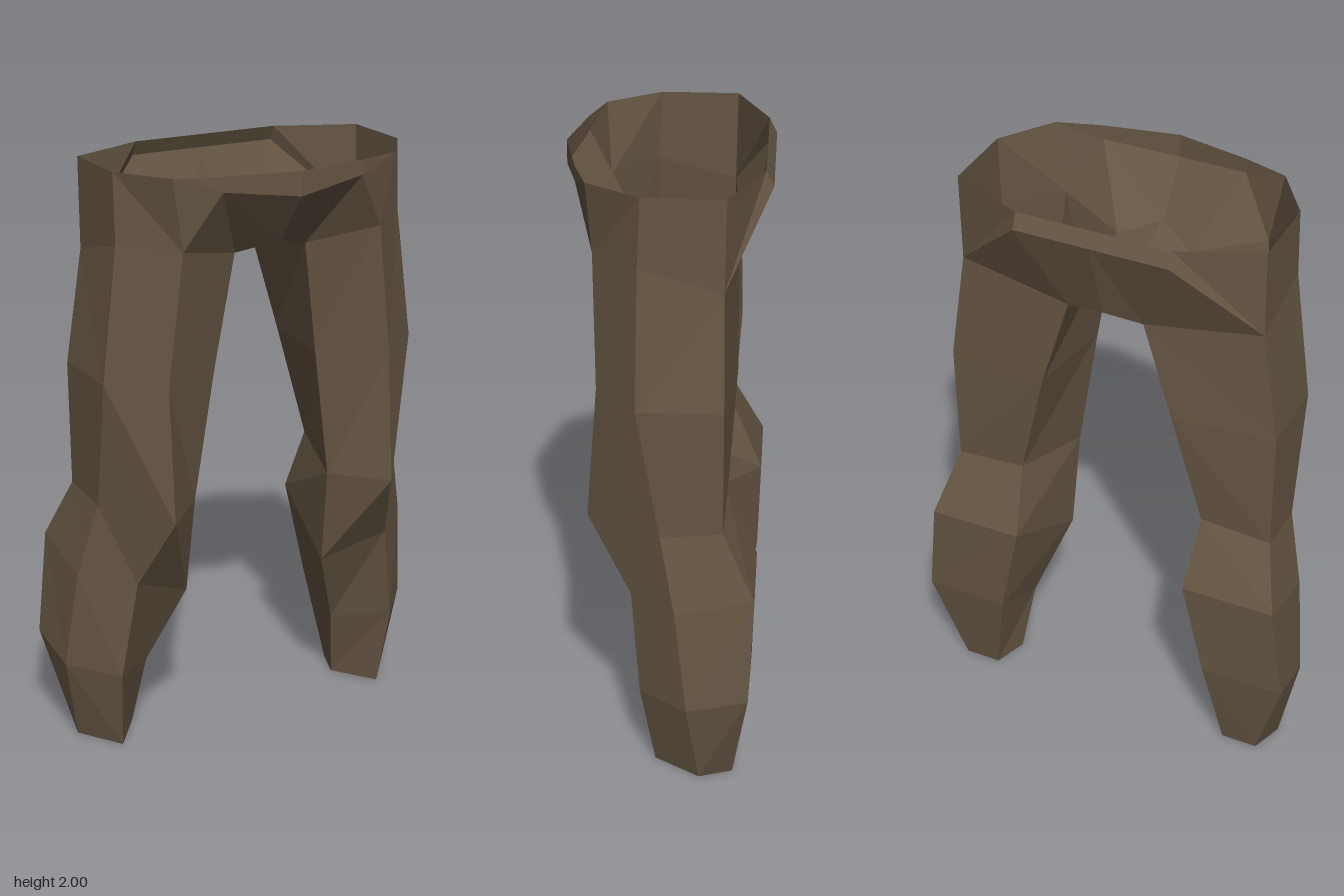
import * as THREE from 'three';

const cloth = new THREE.MeshStandardMaterial({ color: 0x665643, side: THREE.DoubleSide, flatShading: true });
cloth.name = 'brown cloth';

// Leg corners from hip to ankle, left side
const front = [[.36, 1.76, .22], [.41, 1.32, .21], [.41, .87, .245], [.48, .62, .10], [.53, .28, .07], [.51, 0, .02]];
const outerFront = [[.52, 1.77, .07], [.575, 1.32, .075], [.57, .88, 0], [.63, .63, -.05], [.665, .29, -.09], [.61, 0, -.13]];
const outerBack = [[.52, 1.7, -.195], [.577, 1.32, -.2], [.572, .9, -.2], [.632, .69, -.305], [.673, .34, -.29], [.57, 0, -.24]];
const innerBack = [[.13, 1.65, -.228], [.23, 1.32, -.232], [.33, .92, -.205], [.31, .69, -.305], [.385, .34, -.295], [.445, 0, -.24]];
const innerFront = [[.13, 1.71, .13], [.19, 1.32, .1], [.255, .87, .08], [.265, .53, .03], [.37, .25, -.075], [.405, 0, -.125]];
const corners = [front, outerFront, outerBack, innerBack, innerFront];

// Centre points and the two rings of the waistband
const crotchFront = [0, 1.75, .2], crotchBack = [0, 1.67, -.25];
const [F, OF, OB, IB, I] = corners.map(c => c[0]);
const rim = [[0, 2, .33], [.25, 2, .28], [.40, 2, .235], [.52, 2, .06], [.52, 2, -.2], [.26, 2, -.31], [0, 2, -.31]];
const hem = [[0, 1.92, .33], [.25, 1.95, .28], F, OF, OB, [.26, 1.95, -.335], [0, 1.95, -.335]];

// Mesh from polygons, mirrored in x when side is -1
function patch(name, polygons, side) {
  const pos = [];
  for (const p of polygons) {
    for (let i = 1; i < p.length - 1; i++) {
      const tri = side > 0 ? [p[0], p[i], p[i + 1]] : [p[0], p[i + 1], p[i]];
      for (const [x, y, z] of tri) pos.push(x * side, y, z);
    }
  }
  const g = new THREE.BufferGeometry();
  g.setAttribute('position', new THREE.Float32BufferAttribute(pos, 3));
  g.computeVertexNormals();
  const mesh = new THREE.Mesh(g, cloth);
  mesh.name = name;
  return mesh;
}

export function createModel() {
  const group = new THREE.Group();
  group.name = 'trousers';

  // Leg walls
  const leg = [];
  corners.forEach((a, k) => {
    const b = corners[(k + 1) % corners.length];
    for (let j = 0; j < a.length - 1; j++) leg.push([a[j + 1], b[j + 1], b[j], a[j]]);
  });

  // Waistband walls
  const band = [];
  for (let k = 0; k < rim.length - 1; k++) band.push([hem[k], hem[k + 1], rim[k + 1], rim[k]]);

  // Front panel, seat and crotch strip
  const fly = [[crotchFront, I, hem[1], hem[0]], [I, F, hem[1]]];
  const seat = [[OB, IB, hem[5]], [IB, crotchBack, hem[6], hem[5]]];
  const crotch = [[crotchFront, crotchBack, IB, I]];

  for (const [label, side] of [['left', 1], ['right', -1]]) {
    group.add(
      patch(label + 'Leg', leg, side),
      patch(label + 'Waistband', band, side),
      patch(label + 'FrontPanel', fly, side),
      patch(label + 'Seat', seat, side),
      patch(label + 'Crotch', crotch, side),
    );
  }
  return group;
}
